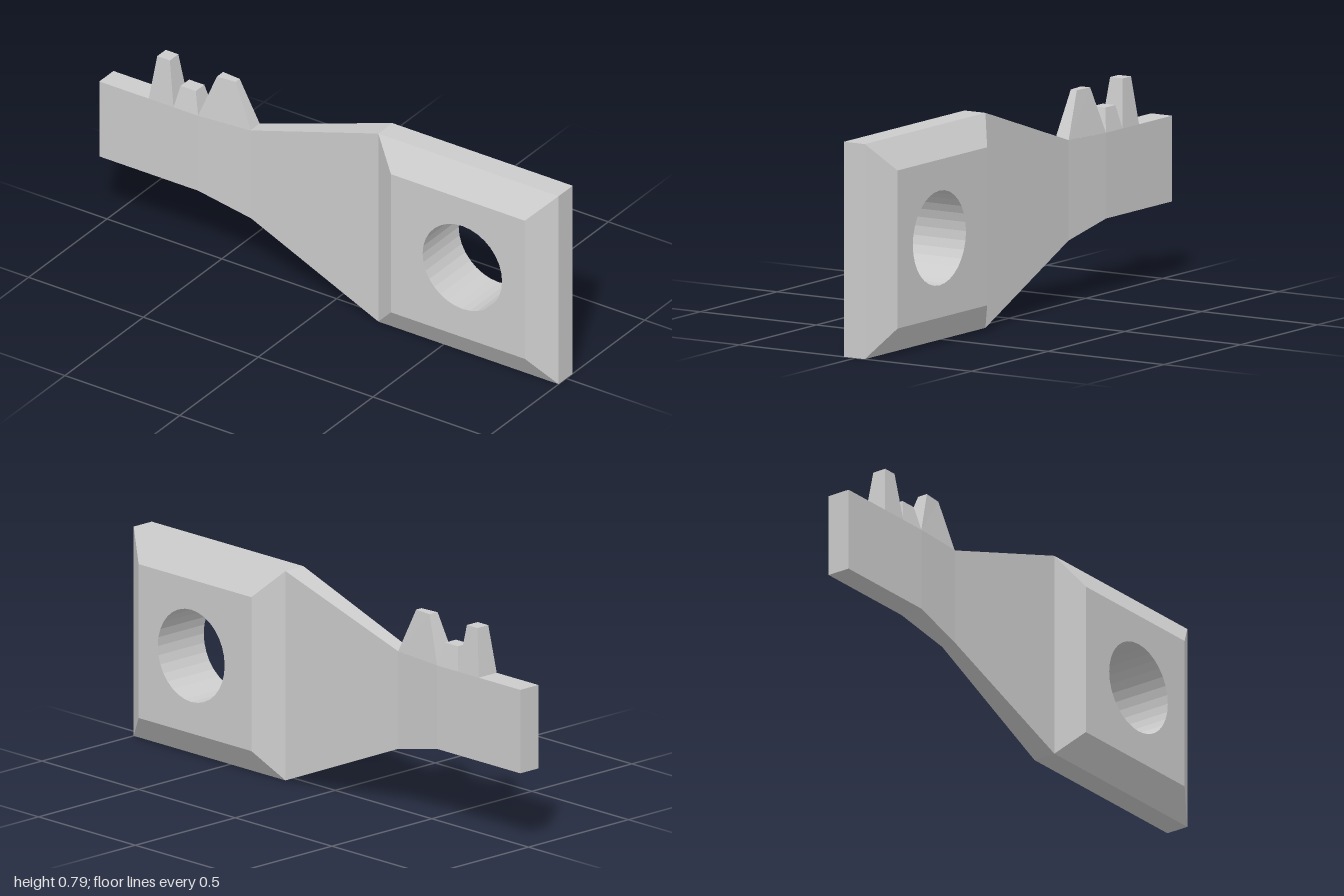
import * as THREE from 'three';

const material = new THREE.MeshStandardMaterial({ color: 0xcccccc, flatShading: true });
const MID = 0.004; // depth centre of the flat stock

// Joins four-cornered rings, each counterclockwise seen from the end of the loft.
// sides lists which of the four sides to build; caps closes the first and last ring.
function loft(name, rings, { sides = [0, 1, 2, 3], startCap = false, endCap = false } = {}) {
  const pos = [];
  const quad = (a, b, c, d) => pos.push(...a, ...b, ...c, ...a, ...c, ...d);
  for (let r = 0; r < rings.length - 1; r++) {
    const a = rings[r], b = rings[r + 1];
    for (const i of sides) {
      const j = (i + 1) % 4;
      quad(a[i], a[j], b[j], b[i]);
    }
  }
  if (startCap) quad(...[...rings[0]].reverse());
  if (endCap) quad(...rings[rings.length - 1]);
  const geometry = new THREE.BufferGeometry();
  geometry.setAttribute('position', new THREE.Float32BufferAttribute(pos, 3));
  geometry.computeVertexNormals();
  const mesh = new THREE.Mesh(geometry, material);
  mesh.name = name;
  return mesh;
}

// Rings across x, y and z
const ringX = (x, y0, y1, h) =>
  [[x, y0, MID + h], [x, y0, MID - h], [x, y1, MID - h], [x, y1, MID + h]];
const ringY = (y, x0, x1, h0, h1) =>
  [[x0, y, MID + h0], [x1, y, MID + h1], [x1, y, MID - h1], [x0, y, MID - h0]];
const ringZ = (z, x0, x1, y0, y1) =>
  [[x0, y0, z], [x1, y0, z], [x1, y1, z], [x0, y1, z]];

export function createModel() {
  const model = new THREE.Group();

  // Shaft: flat bar, pinched at the neck, flaring into the head
  const T = 0.045, neck = 0.029;
  model.add(loft('shaft', [
    ringX(-1, 0.285, 0.598, T),
    ringX(-0.57, 0.285, 0.598, T),
    ringX(-0.35, 0.235, 0.602, neck),
    ringX(0.215, 0, 0.785, T),
  ], { startCap: true }));

  // Teeth: [base x0, x1, top x0, x1, top y, base half depths, top half depths]
  const teeth = [
    [-0.785, -0.677, -0.76, -0.705, 0.775, T, T, 0.027, 0.027],
    [-0.677, -0.57, -0.658, -0.592, 0.685, T, T, 0.027, 0.027],
    [-0.57, -0.35, -0.505, -0.428, 0.771, T, neck, 0.02, 0.013],
  ];
  for (const [b0, b1, t0, t1, y, hb0, hb1, ht0, ht1] of teeth) {
    model.add(loft('tooth', [ringY(0.598, b0, b1, hb0, hb1), ringY(y, t0, t1, ht0, ht1)],
      { endCap: true }));
  }

  // Head: rim band, with a bevel rising to each raised face
  const head = new THREE.Group();
  head.name = 'head';
  const outer = [0.215, 1, 0, 0.785], inner = [0.315, 0.898, 0.104, 0.681], D = 0.115;
  head.add(loft('rim', [ringX(0.215, 0, 0.785, T), ringX(1, 0, 0.785, T)],
    { sides: [0, 2], endCap: true }));
  head.add(loft('frontBevel', [ringZ(MID + T, ...outer), ringZ(D, ...inner)]));
  head.add(loft('backBevel', [ringZ(-D, ...inner), ringZ(MID - T, ...outer)]));

  // Raised faces and the round through-hole
  const [x0, x1, y0, y1] = inner;
  const shape = new THREE.Shape([[x0, y0], [x1, y0], [x1, y1], [x0, y1]]
    .map(([x, y]) => new THREE.Vector2(x, y)));
  shape.holes.push(new THREE.Path().absarc(0.626, 0.395, 0.173, 0, Math.PI * 2, true));
  const plate = new THREE.ExtrudeGeometry(shape,
    { depth: 2 * D, bevelEnabled: false, curveSegments: 16 });
  plate.translate(0, 0, -D);
  const core = new THREE.Mesh(plate, material);
  core.name = 'piercedCore';
  head.add(core);
  model.add(head);

  return model;
}
